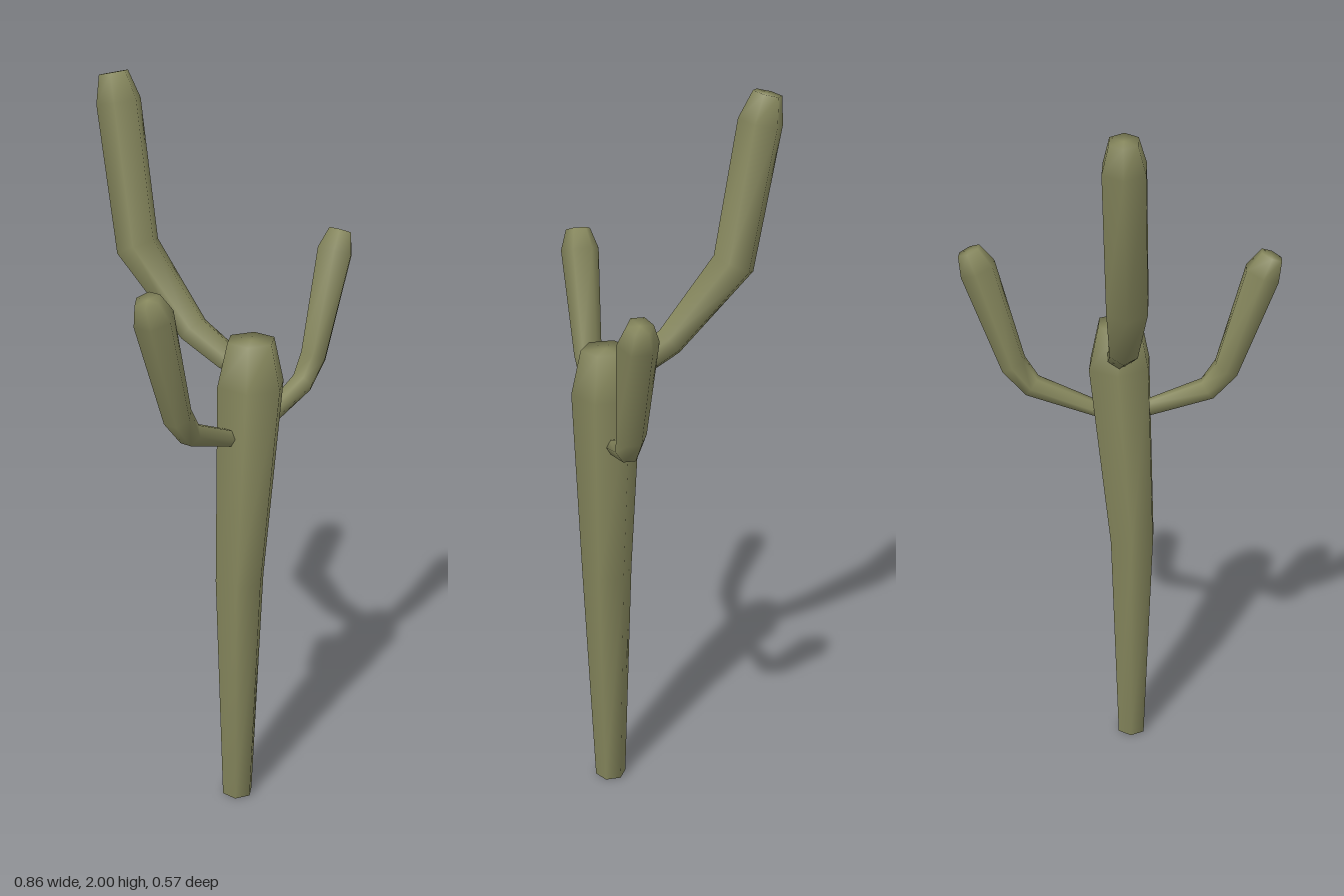
import * as THREE from 'three';

const SIDES = 6;

// Closed hexagonal limb swept along points [x, y, z, radius];
// axis is the fixed side direction, phase turns the hexagon.
function limbGeometry(points, axis, phase) {
  const centres = points.map(([x, y, z]) => new THREE.Vector3(x, y, z));
  const last = centres.length - 1;
  const direction = (a, b) => centres[b].clone().sub(centres[a]).normalize();
  const position = [], index = [];

  centres.forEach((c, i) => {
    const t = new THREE.Vector3();
    if (i > 0) t.add(direction(i - 1, i));
    if (i < last) t.add(direction(i, i + 1));
    t.normalize();
    const u = axis.clone().addScaledVector(t, -axis.dot(t)).normalize();
    const v = t.clone().cross(u);
    for (let j = 0; j < SIDES; j++) {
      const a = phase + (j / SIDES) * Math.PI * 2;
      const p = c.clone()
        .addScaledVector(u, Math.cos(a) * points[i][3])
        .addScaledVector(v, Math.sin(a) * points[i][3]);
      position.push(p.x, p.y, p.z);
    }
  });

  // walls
  for (let i = 0; i < last; i++) {
    for (let j = 0; j < SIDES; j++) {
      const k = (j + 1) % SIDES, a = i * SIDES, b = a + SIDES;
      index.push(a + j, a + k, b + k, a + j, b + k, b + j);
    }
  }
  // end caps
  const start = position.length / 3, end = start + 1;
  position.push(...centres[0].toArray(), ...centres[last].toArray());
  for (let j = 0; j < SIDES; j++) {
    const k = (j + 1) % SIDES, top = last * SIDES;
    index.push(start, k, j, end, top + j, top + k);
  }

  const geometry = new THREE.BufferGeometry();
  geometry.setAttribute('position', new THREE.Float32BufferAttribute(position, 3));
  geometry.setIndex(index);
  geometry.computeVertexNormals();
  return geometry;
}

export function createModel() {
  const group = new THREE.Group();
  group.name = 'cactus';
  const green = new THREE.MeshStandardMaterial({ color: 0x86875d });
  green.name = 'olive green';

  const xAxis = new THREE.Vector3(1, 0, 0);
  const zAxis = new THREE.Vector3(0, 0, 1);
  const addLimb = (name, points, axis, phase = 0) => {
    const mesh = new THREE.Mesh(limbGeometry(points, axis, phase), green);
    mesh.name = name;
    group.add(mesh);
  };

  // trunk, widening upward to a tapered crown
  addLimb('trunk', [
    [-0.037, 0.004, 0.191, 0.044],
    [-0.037, 0.68, 0.191, 0.07],
    [0.001, 1.23, 0.191, 0.094],
    [0, 1.35, 0.191, 0.066],
  ], zAxis);

  // mirrored pair of side arms
  for (const [name, s] of [['leftArm', 1], ['rightArm', -1]]) {
    addLimb(name, [
      [s * 0.05, 1.09, 0.183, 0.022],
      [s * 0.243, 1.162, 0.184, 0.033],
      [s * 0.293, 1.225, 0.185, 0.039],
      [s * 0.382, 1.503, 0.185, 0.053],
      [s * 0.405, 1.555, 0.185, 0.034],
    ], zAxis);
  }

  // tall arm bending backward
  addLimb('backArm', [
    [-0.003, 1.285, 0.122, 0.038],
    [-0.018, 1.348, 0.015, 0.043],
    [-0.033, 1.546, -0.162, 0.06],
    [-0.027, 1.92, -0.226, 0.061],
    [-0.026, 1.992, -0.243, 0.04],
  ], xAxis, Math.PI / 6);

  return group;
}
